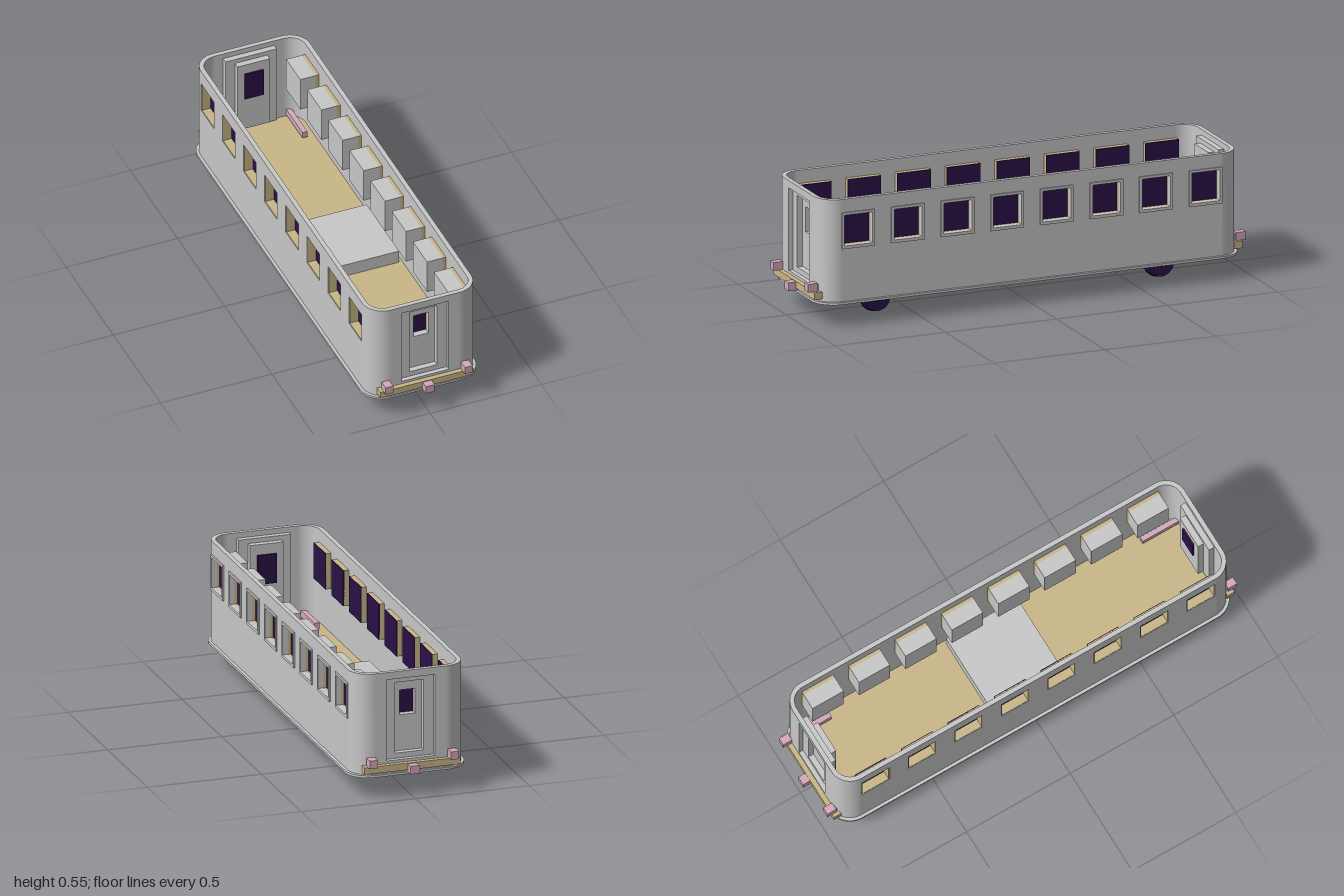
import * as THREE from 'three';
import { toCreasedNormals } from 'three/addons/utils/BufferGeometryUtils.js';

const mat = (name, color) => {
  const m = new THREE.MeshStandardMaterial({ color });
  m.name = name;
  return m;
};

export function createModel() {
  const grey = mat('body grey', 0xc8c8c8);
  const tan = mat('tan', 0xc9b787);
  const pink = mat('pink', 0xd3aaba);
  const dark = mat('dark purple', 0x2a1046);

  const model = new THREE.Group();
  model.name = 'openCarriage';

  const add = (parent, name, geo, material) => {
    const mesh = new THREE.Mesh(geo, material);
    mesh.name = name;
    parent.add(mesh);
    return mesh;
  };
  // box given by its limits on each axis
  const box = (parent, name, material, x0, x1, y0, y1, z0, z1) => {
    const geo = new THREE.BoxGeometry(x1 - x0, y1 - y0, z1 - z0);
    geo.translate((x0 + x1) / 2, (y0 + y1) / 2, (z0 + z1) / 2);
    return add(parent, name, geo, material);
  };
  const rect = (path, u0, u1, v0, v1) => path.moveTo(u0, v0).lineTo(u1, v0).lineTo(u1, v1).lineTo(u0, v1).closePath();
  // upright plate with rectangular holes, from depth d0 to d1 along z (or along x when sideways)
  const plate = (outer, holes, d0, d1, sideways = false) => {
    const shape = rect(new THREE.Shape(), ...outer);
    for (const h of holes) shape.holes.push(rect(new THREE.Path(), ...h));
    const geo = new THREE.ExtrudeGeometry(shape, { depth: d1 - d0, bevelEnabled: false });
    geo.translate(0, 0, d0);
    if (sideways) geo.rotateY(Math.PI / 2);
    return geo;
  };

  const X = 0.245, Z = 0.945, R = 0.09, T = 0.02, Y0 = 0.105, Y1 = 0.547;
  const windowZ = Array.from({ length: 8 }, (_, i) => (i - 3.5) * 0.224);
  const W0 = 0.344, W1 = 0.482;

  // long side walls with eight window openings
  const openings = windowZ.map((z) => [z - 0.067, z + 0.067, W0, W1]);
  for (const [name, d] of [['leftWall', X - T], ['rightWall', -X]]) {
    add(model, name, plate([-Z + R, Z - R, Y0, Y1], openings, d, d + T, true), grey);
  }

  // rounded corner posts
  const quarter = new THREE.Shape();
  quarter.absarc(0, 0, R, 0, Math.PI / 2, false);
  quarter.absarc(0, 0, R - T, Math.PI / 2, 0, true);
  const cornerGeo = toCreasedNormals(
    new THREE.ExtrudeGeometry(quarter, { depth: Y1 - Y0, bevelEnabled: false, curveSegments: 12 }), 0.6);
  cornerGeo.rotateX(-Math.PI / 2);
  [[1, -1], [-1, -1], [-1, 1], [1, 1]].forEach(([sx, sz], i) => {
    const c = add(model, 'corner', cornerGeo, grey);
    c.position.set(sx * (X - R), Y0, sz * (Z - R));
    c.rotation.y = i * Math.PI / 2;
  });

  // underframe: stepped rounded slabs with a thin lip
  const roundedSlab = (x, z, r, y0, y1) => {
    const s = new THREE.Shape();
    s.absarc(x - r, z - r, r, 0, Math.PI / 2, false);
    s.absarc(-x + r, z - r, r, Math.PI / 2, Math.PI, false);
    s.absarc(-x + r, -z + r, r, Math.PI, Math.PI * 1.5, false);
    s.absarc(x - r, -z + r, r, Math.PI * 1.5, Math.PI * 2, false);
    s.closePath();
    const geo = new THREE.ExtrudeGeometry(s, { depth: y1 - y0, bevelEnabled: false, curveSegments: 10 });
    geo.rotateX(-Math.PI / 2);
    geo.translate(0, y0, 0);
    return toCreasedNormals(geo, 0.6);
  };
  add(model, 'baseLip', roundedSlab(0.258, 0.957, 0.1, 0.097, 0.107), grey);
  add(model, 'basePlate', roundedSlab(0.238, 0.938, 0.085, 0.092, 0.12), grey);
  add(model, 'floor', roundedSlab(X - T, Z - T, R - T, 0.12, 0.14), tan);
  box(model, 'centrePlatform', grey, -0.205, 0.21, 0.14, 0.198, -0.172, 0.172);

  // windows: deep blocks behind the left side, panels behind the right side
  for (const z of windowZ) {
    const outer = [-z - 0.075, -z + 0.075, 0.334, 0.49];
    const hole = [-z - 0.063, -z + 0.063, W0 + 0.003, W1 - 0.003];
    const left = new THREE.Group();
    left.name = 'leftWindow';
    add(left, 'outerFrame', plate(outer, [hole], 0.228, 0.251, true), grey);
    add(left, 'innerFrame', plate(outer, [hole], 0.21, 0.228, true), tan);
    box(left, 'pane', dark, 0.21, 0.215, W0, W1, z - 0.066, z + 0.066);
    box(left, 'backBlock', grey, 0.14, 0.21, 0.334, 0.49, z - 0.075, z + 0.075);
    const right = new THREE.Group();
    right.name = 'rightWindow';
    add(right, 'frame', plate(outer, [hole], -0.243, -0.203, true), tan);
    box(right, 'pane', dark, -0.205, -0.2, 0.334, 0.49, z - 0.075, z + 0.075);
    model.add(left, right);
  }

  // both ends: wall, stepped door recess, beam, buffers, coupler, bogie
  for (const end of [0, 1]) {
    const g = new THREE.Group();
    g.name = end ? 'backEnd' : 'frontEnd';
    g.rotation.y = end * Math.PI;
    model.add(g);

    const door = [-0.106, 0.106, 0.16, 0.515];
    const panel = [-0.062, 0.062, 0.183, 0.492];
    const glass = [-0.034, 0.034, 0.34, 0.448];
    add(g, 'endWall', plate([-X + R, X - R, Y0, Y1], [door], Z - T, Z), grey);
    add(g, 'doorFrame', plate([-0.115, 0.115, 0.152, 0.523], [panel], 0.9, Z - T), grey);
    add(g, 'door', plate([-0.073, 0.073, 0.172, 0.503], [glass], 0.873, 0.9), grey);
    box(g, 'doorWindow', dark, -0.042, 0.042, 0.33, 0.458, 0.865, 0.873);

    box(g, 'bufferBeam', tan, -0.21, 0.21, 0.118, 0.148, 0.93, 0.966);
    box(g, 'coupler', pink, -0.02, 0.02, 0.109, 0.145, 0.95, 1.0);
    for (const s of [-1, 1]) {
      const x = s * 0.178;
      box(g, 'buffer', pink, x - 0.017, x + 0.017, 0.148, 0.183, 0.945, 0.988);
      box(g, 'bufferShaft', pink, x - 0.011, x + 0.011, 0.148, 0.176, 0.75, 0.945);
    }

    box(g, 'bogie', pink, -0.085, 0.085, 0.058, 0.093, 0.125, 0.79);
    for (const s of [-1, 1]) {
      const wheel = new THREE.Group();
      wheel.name = 'wheel';
      wheel.position.set(s * 0.1, 0.066, 0.64);
      wheel.rotation.z = -s * Math.PI / 2;
      const tread = new THREE.CylinderGeometry(0.058, 0.064, 0.03, 18);
      tread.translate(0, 0.003, 0);
      add(wheel, 'tread', toCreasedNormals(tread, 0.6), dark);
      const flange = new THREE.CylinderGeometry(0.066, 0.066, 0.008, 18);
      flange.translate(0, -0.016, 0);
      add(wheel, 'flange', toCreasedNormals(flange, 0.6), dark);
      const hub = new THREE.CylinderGeometry(0.014, 0.018, 0.008, 12);
      hub.translate(0, 0.02, 0);
      add(wheel, 'hub', toCreasedNormals(hub, 0.6), dark);
      g.add(wheel);
    }
  }
  return model;
}
